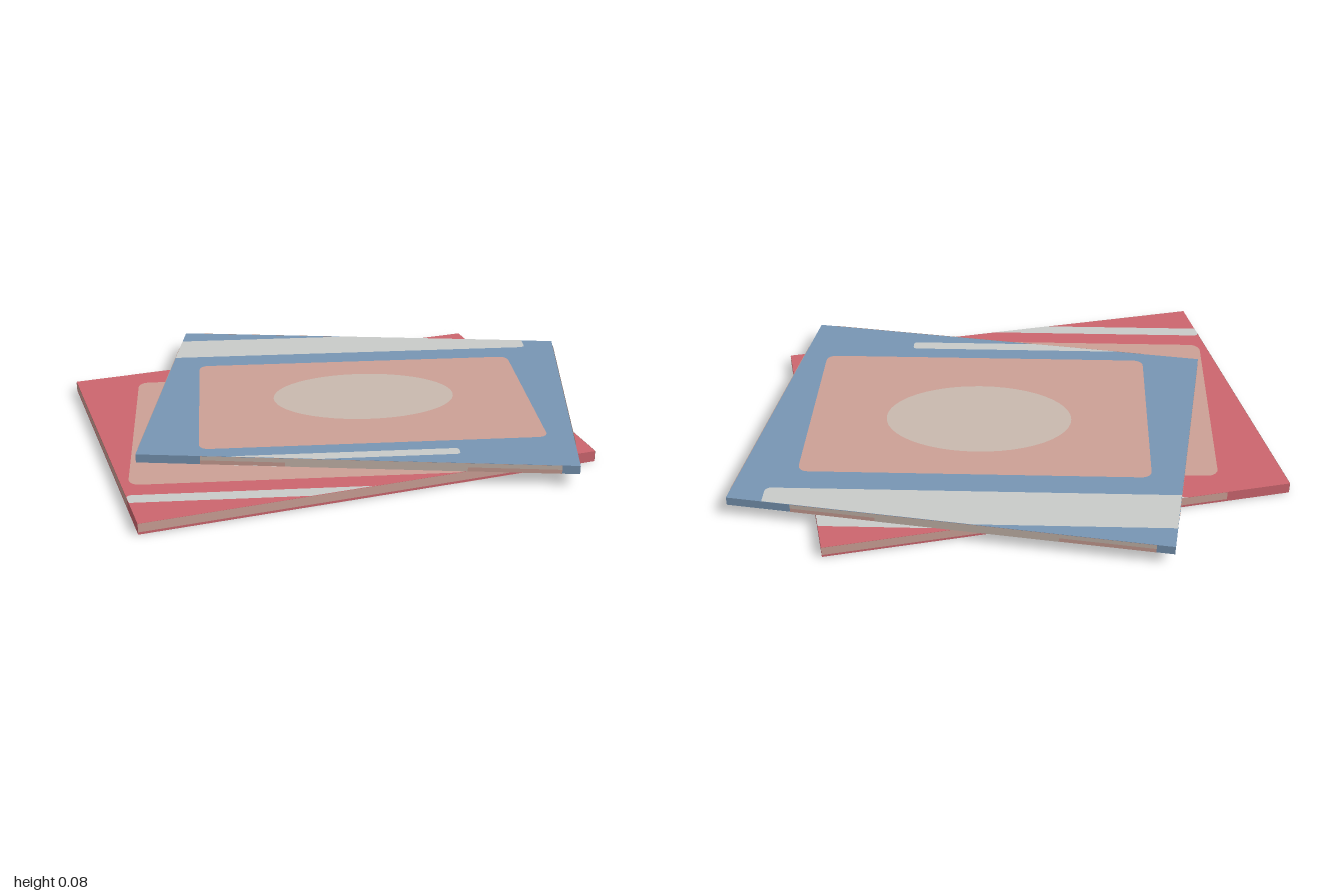
import * as THREE from 'three';

const mat = (name, color, side = THREE.FrontSide) => {
  const m = new THREE.MeshStandardMaterial({ color, side });
  m.name = name;
  return m;
};

// Keep the part of a polygon that lies inside a convex outline (clockwise seen from above, z down)
function clip(points, outline) {
  let out = points;
  outline.forEach((a, i) => {
    const b = outline[(i + 1) % outline.length];
    const d = p => (b[0] - a[0]) * (p[1] - a[1]) - (b[1] - a[1]) * (p[0] - a[0]);
    const next = [];
    out.forEach((p, j) => {
      const q = out[(j + 1) % out.length], dp = d(p), dq = d(q);
      if (dp >= 0) next.push(p);
      if (dp * dq < 0) {
        const t = dp / (dp - dq);
        next.push([p[0] + t * (q[0] - p[0]), p[1] + t * (q[1] - p[1])]);
      }
    });
    out = next;
  });
  return out;
}

const shapeOf = pts => new THREE.Shape(pts.map(p => new THREE.Vector2(p[0], -p[1])));

// Rounded rectangle and ellipse outlines as [x, z] points
function roundRect(x0, x1, z0, z1, r) {
  const pts = [];
  [[x1 - r, z1 - r], [x0 + r, z1 - r], [x0 + r, z0 + r], [x1 - r, z0 + r]].forEach(([cx, cz], k) => {
    for (let i = 0; i <= 5; i++) {
      const a = (k + i / 5) * Math.PI / 2;
      pts.push([cx + r * Math.cos(a), cz + r * Math.sin(a)]);
    }
  });
  return pts;
}
const ellipse = (cx, cz, rx, rz) => Array.from({ length: 48 }, (_, i) => {
  const a = i / 48 * Math.PI * 2;
  return [cx + rx * Math.cos(a), cz + rz * Math.sin(a)];
});

export function createModel() {
  const red = mat('red', 0xcc666e);
  const blue = mat('blue', 0x7896b4);
  const peach = mat('peach', 0xcca096, THREE.DoubleSide);
  const beige = mat('beige', 0xc9b9ae, THREE.DoubleSide);
  const pale = mat('paleGrey', 0xc9cbc9, THREE.DoubleSide);
  const model = new THREE.Group();

  function card(name, corners, y0, y1, body, faces, edges) {
    const group = new THREE.Group();
    group.name = name;
    const add = (part, geo, material) => {
      const mesh = new THREE.Mesh(geo, material);
      mesh.name = part;
      group.add(mesh);
      return mesh;
    };
    // Solid slab
    const slab = new THREE.ExtrudeGeometry(shapeOf(corners), { depth: y1 - y0, bevelEnabled: false });
    add('slab', slab.rotateX(-Math.PI / 2).translate(0, y0, 0), body);

    // Painted faces, the same above and below
    for (const [part, pts, material, layer] of faces) {
      const shape = shapeOf(clip(pts, corners));
      for (const y of [y1 + layer * 0.001, y0 - layer * 0.001]) {
        add(part, new THREE.ShapeGeometry(shape).rotateX(-Math.PI / 2).translate(0, y, 0), material);
      }
    }

    // Painted edge strips, repeated on all four sides
    for (let i = 0; i < 4; i++) {
      const b = corners[i], a = corners[(i + 1) % 4];
      const dx = b[0] - a[0], dz = b[1] - a[1], len = Math.hypot(dx, dz);
      for (const [u0, u1, v0, v1, material, layer] of edges) {
        const strip = new THREE.PlaneGeometry((u1 - u0) * len, (v1 - v0) * (y1 - y0));
        strip.translate((u0 + u1) / 2 * len, (v0 + v1) / 2 * (y1 - y0), layer * 0.001);
        const mesh = add('edgeStrip', strip, material);
        mesh.position.set(a[0], y0, a[1]);
        mesh.rotation.y = Math.atan2(-dz, dx);
      }
    }
    model.add(group);
  }

  // Lower card
  card('lowerCard', [[-0.998, -0.4], [0.635, -0.803], [0.935, 0.395], [-0.7, 0.8]], 0.002, 0.043, red, [
    ['panel', roundRect(-0.745, 0.685, -0.365, 0.525, 0.04), peach, 1],
    ['oval', ellipse(-0.03, 0.04, 0.39, 0.24), beige, 2],
    ['wideBand', roundRect(-0.86, 0.8, -0.69, -0.49, 0.025), pale, 1],
    ['thinStripe', roundRect(-0.745, 0.3, 0.6, 0.655, 0.015), pale, 1],
  ], [[0, 0.86, 0.22, 1, peach, 1]]);

  // Upper card
  card('upperCard', [[-0.56, -0.807], [0.998, -0.588], [0.832, 0.58], [-0.725, 0.36]], 0.048, 0.08, blue, [
    ['panel', roundRect(-0.5, 0.772, -0.43, 0.34, 0.035), peach, 1],
    ['oval', ellipse(0.137, -0.08, 0.35, 0.215), beige, 2],
    ['wideBand', roundRect(-0.62, 0.87, -0.71, -0.528, 0.022), pale, 1],
    ['thinStripe', roundRect(-0.5, 0.43, 0.405, 0.452, 0.013), pale, 1],
  ], [
    [0.147, 0.96, 0, 1, peach, 1],
    [0.147, 0.96, 0.5, 1, beige, 2],
    [0.34, 0.75, 0, 0.5, beige, 2],
  ]);

  return model;
}
